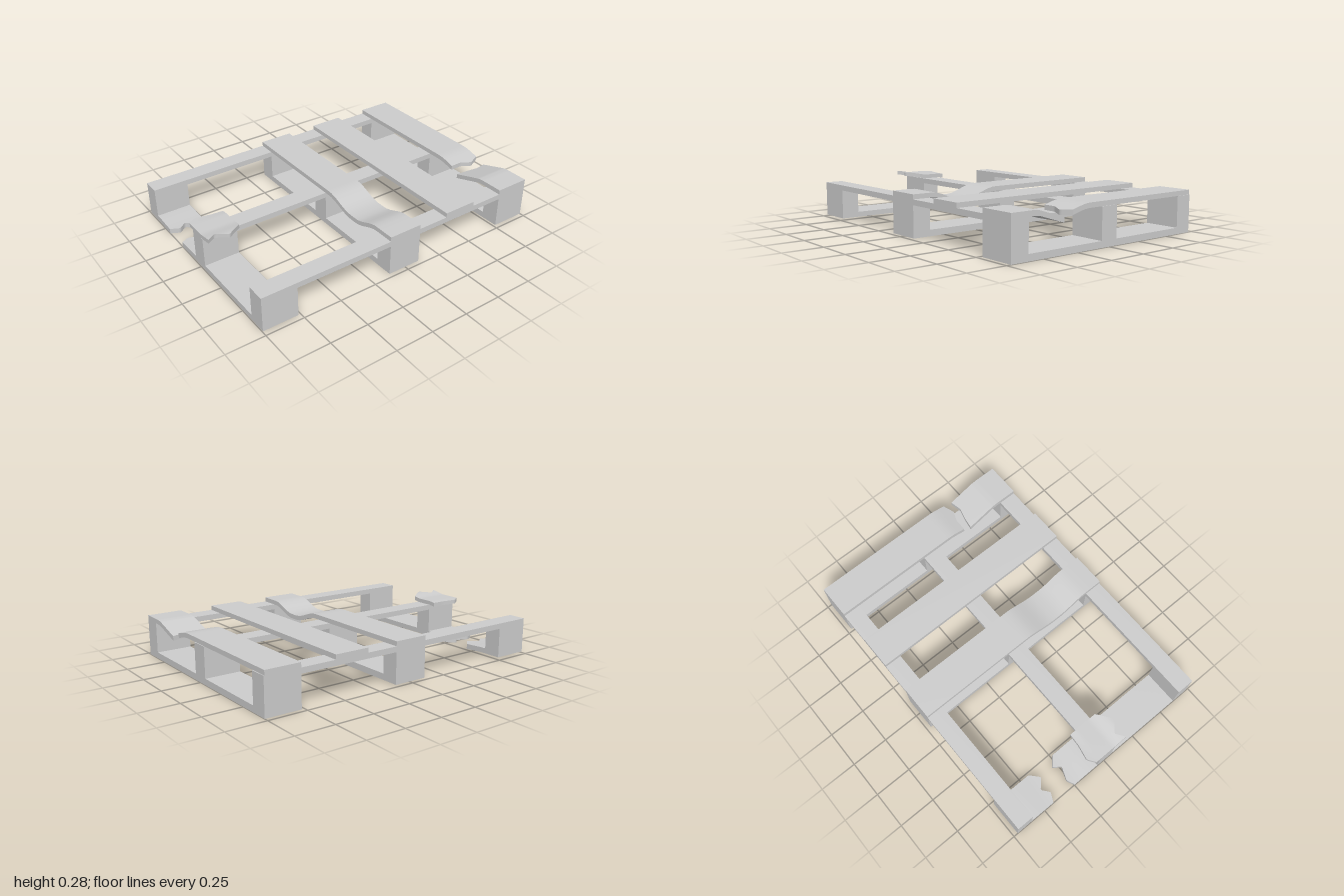
import * as THREE from 'three';

const material = new THREE.MeshStandardMaterial({ color: 0xcccccc });
const END = 0.72;

// Piecewise-linear lookup in a list of [position, value] points
function lookup(points, p) {
  if (p <= points[0][0]) return points[0][1];
  for (let i = 1; i < points.length; i++) {
    const [a, va] = points[i - 1], [b, vb] = points[i];
    if (p <= b) return va + (vb - va) * (p - a) / (b - a);
  }
  return points[points.length - 1][1];
}

function box(name, x0, x1, y0, y1, z0, z1) {
  const mesh = new THREE.Mesh(new THREE.BoxGeometry(x1 - x0, y1 - y0, z1 - z0), material);
  mesh.position.set((x0 + x1) / 2, (y0 + y1) / 2, (z0 + z1) / 2);
  mesh.name = name;
  return mesh;
}

// Board along z: back and front edges are [x, z] lines (splintered if needed),
// bend(z, x) lifts or lowers the board along its length
function plank(name, x0, x1, y0, y1, back, front, bend) {
  const geometry = new THREE.BoxGeometry(1, y1 - y0, 1, 20, 1, 36);
  const pos = geometry.attributes.position;
  for (let i = 0; i < pos.count; i++) {
    const x = x0 + (x1 - x0) * (pos.getX(i) + 0.5);
    const t = pos.getZ(i) + 0.5;
    const z = lookup(back, x) * (1 - t) + lookup(front, x) * t;
    pos.setXYZ(i, x, (y0 + y1) / 2 + pos.getY(i) + bend(z, x), z);
  }
  geometry.computeVertexNormals();
  const mesh = new THREE.Mesh(geometry, material);
  mesh.name = name;
  return mesh;
}

export function createModel() {
  const group = new THREE.Group();
  const columns = [[-1, -0.77], [-0.12, 0.105], [0.768, 1]];
  const rows = [[-END, -0.605], [-0.062, 0.058], [0.602, END]];
  const backEnd = [[0, -END]], frontEnd = [[0, END]];

  // Cross bars and the nine spacer blocks
  for (const [z0, z1] of rows) {
    group.add(box('crossBar', -1, 1, 0.2, 0.235, z0, z1));
    for (const [x0, x1] of columns) group.add(box('spacerBlock', x0, x1, 0.035, 0.2, z0, z1));
  }

  // Intact bottom runners
  for (const [x0, x1] of columns.slice(1)) group.add(box('bottomRunner', x0, x1, 0, 0.04, -END, END));

  // Snapped bottom runner
  const [rx0, rx1] = columns[0];
  group.add(plank('brokenRunnerBack', rx0, rx1, 0.008, 0.042, backEnd,
    [[-1, -0.43], [-0.94, -0.4], [-0.89, -0.44], [-0.83, -0.385], [-0.77, -0.44]],
    (z) => -0.008 * THREE.MathUtils.smoothstep(z, -0.6, -0.42)));
  group.add(plank('brokenRunnerFront', rx0, rx1, 0.008, 0.042,
    [[-1, -0.25], [-0.95, -0.275], [-0.86, -0.24], [-0.83, -0.29], [-0.77, -0.24]], frontEnd,
    (z) => -0.008 * (1 - THREE.MathUtils.smoothstep(z, -0.26, -0.08))));

  // Straight top board
  group.add(box('topBoard', 0.315, 0.54, 0.235, 0.265, -END, END));

  // Sagging top board
  const dip = (z) => -0.055 * THREE.MathUtils.smoothstep(z, 0.1, 0.32)
    * (1 - THREE.MathUtils.smoothstep(z, 0.38, 0.58));
  group.add(plank('saggingBoard', -0.12, 0.105, 0.235, 0.265, backEnd, frontEnd, dip));

  // Top board snapped in two, both ends drooping
  group.add(plank('snappedBoardBack', 0.768, 0.995, 0.235, 0.265, backEnd,
    [[0.768, 0.28], [0.85, 0.28], [0.92, 0.31], [0.995, 0.28]],
    (z) => lookup([[0.16, 0], [0.2, -0.005], [0.31, -0.033]], z)));
  group.add(plank('snappedBoardFront', 0.768, 1, 0.235, 0.265,
    [[0.768, 0.335], [0.84, 0.345], [0.92, 0.365], [1, 0.35]], frontEnd,
    (z) => lookup([[0.335, -0.064], [0.53, -0.004], [0.57, 0]], z)));

  // Splintered scrap of top board left on the middle block
  group.add(plank('boardScrap', -1, -0.77, 0.235, 0.262,
    [[-1, -0.1], [-0.95, -0.135], [-0.85, -0.115], [-0.77, -0.11]],
    [[-1, 0.14], [-0.94, 0.1], [-0.87, 0.16], [-0.77, 0.09]],
    (z, x) => 0.016 * THREE.MathUtils.smoothstep(z, 0.03, 0.15)
      - 0.006 * THREE.MathUtils.smoothstep(-z, 0.06, 0.13) * (x + 1) / 0.23));

  return group;
}
